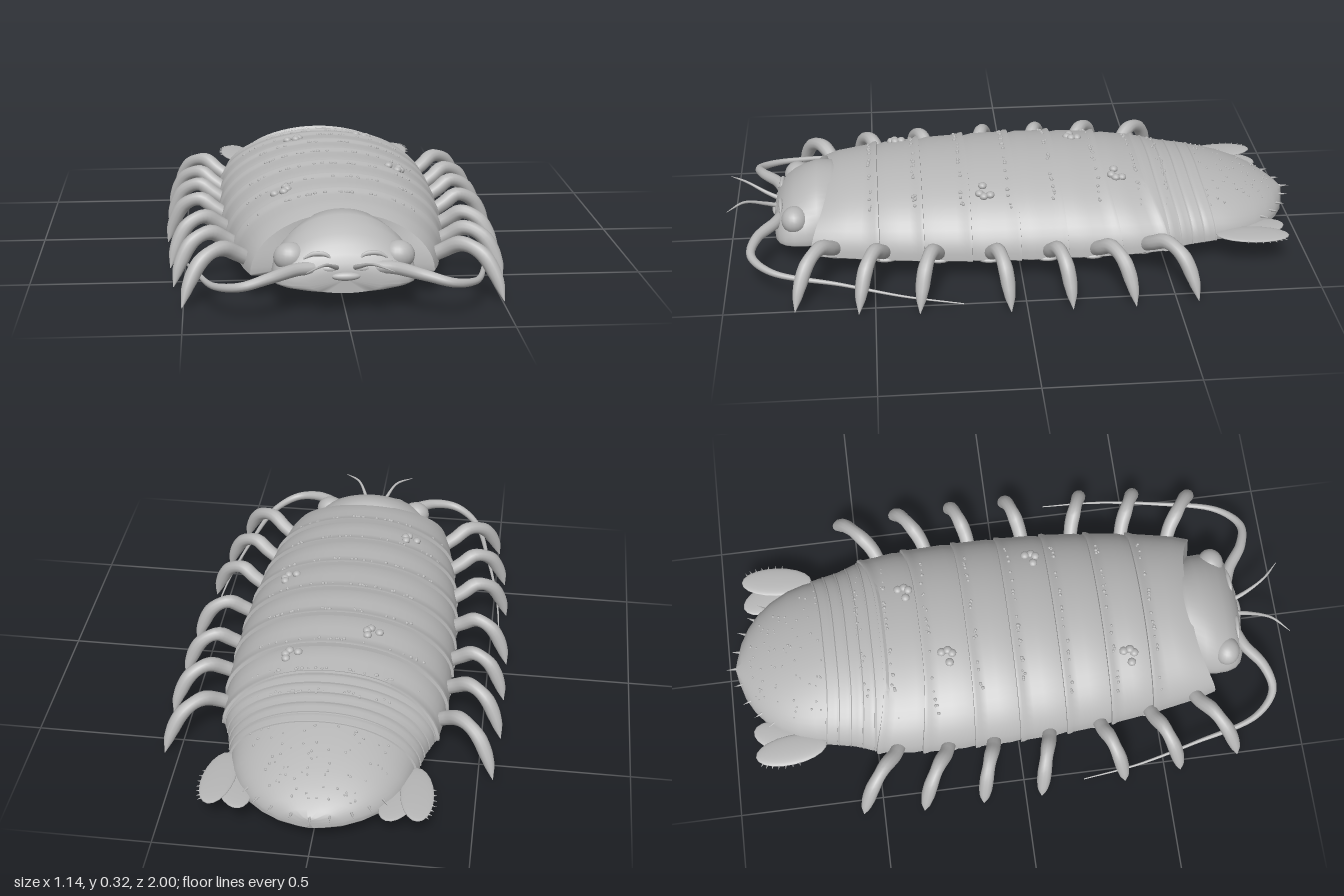
import * as THREE from 'three';
import { mergeGeometries, toCreasedNormals } from 'three/addons/utils/BufferGeometryUtils.js';

const shellGrey = new THREE.MeshStandardMaterial({ color: 0xb6b6b6 });
shellGrey.name = 'shell grey';
const BASE = 0.09; // height of the shell's side edge

// Body outline: z, half width, top height
const OUTLINE = [
  [0.74, 0.262, 0.25], [0.64, 0.3, 0.278], [0.48, 0.342, 0.3], [0.33, 0.362, 0.31], [0.17, 0.376, 0.315],
  [0, 0.383, 0.318], [-0.15, 0.384, 0.315], [-0.3, 0.38, 0.303], [-0.46, 0.358, 0.28], [-0.54, 0.328, 0.265],
  [-0.64, 0.307, 0.25], [-0.7, 0.298, 0.236], [-0.76, 0.28, 0.22], [-0.82, 0.248, 0.2], [-0.87, 0.208, 0.18],
  [-0.91, 0.16, 0.16], [-0.94, 0.105, 0.142], [-0.958, 0.045, 0.13], [-0.965, 0.01, 0.125],
];
function outline(z) {
  let i = 0;
  while (i < OUTLINE.length - 2 && z < OUTLINE[i + 1][0]) i++;
  const [a, b] = [OUTLINE[i], OUTLINE[i + 1]];
  const t = THREE.MathUtils.clamp((a[0] - z) / (a[0] - b[0]), 0, 1);
  return [a[1] + (b[1] - a[1]) * t, a[2] + (b[2] - a[2]) * t];
}
function onShell(x, z) {
  const [w, h] = outline(z);
  return new THREE.Vector3(x, BASE + (h - BASE) * Math.sqrt(Math.max(0, 1 - (x / w) ** 2)), z);
}

// Domed solid through sections, front to rear: z, half width, top, sweep of the sides, belly depth
function loft(sections, crease = 0.6) {
  const n = 56, pos = [], idx = [];
  for (const [z, w, top, sweep = 0, depth = 0.025] of sections) {
    for (let j = 0; j < n; j++) {
      const a = (j / n) * Math.PI * 2, c = Math.cos(a), s = Math.sin(a);
      pos.push(w * c, BASE + s * (s > 0 ? top - BASE : depth), z + sweep * Math.abs(c) ** 3);
    }
  }
  const m = sections.length;
  for (let i = 0; i < m - 1; i++) for (let j = 0; j < n; j++) {
    const k = (j + 1) % n, a = i * n + j, b = i * n + k, c = a + n, d = b + n;
    idx.push(a, c, b, b, c, d);
  }
  pos.push(0, BASE + 0.02, sections[0][0], 0, BASE + 0.02, sections[m - 1][0]);
  for (let j = 0; j < n; j++) {
    const k = (j + 1) % n, e = (m - 1) * n;
    idx.push(m * n, j, k, m * n + 1, e + k, e + j);
  }
  const g = new THREE.BufferGeometry();
  g.setAttribute('position', new THREE.Float32BufferAttribute(pos, 3));
  g.setIndex(idx);
  return toCreasedNormals(g, crease);
}

// Tube along points whose radius follows a list
function taper(points, radii, steps = 40, sides = 12) {
  const curve = new THREE.CatmullRomCurve3(points.map(p => new THREE.Vector3(...p)));
  const g = new THREE.TubeGeometry(curve, steps, 1, sides);
  const p = g.attributes.position, v = new THREE.Vector3();
  for (let i = 0; i <= steps; i++) {
    const u = i / steps, c = curve.getPointAt(u), f = u * (radii.length - 1);
    const k = Math.min(Math.floor(f), radii.length - 2);
    const r = THREE.MathUtils.lerp(radii[k], radii[k + 1], f - k);
    for (let j = 0; j <= sides; j++) {
      const q = i * (sides + 1) + j;
      v.fromBufferAttribute(p, q).sub(c).multiplyScalar(r).add(c);
      p.setXYZ(q, v.x, v.y, v.z);
    }
  }
  return g;
}
function ball(x, y, z, rx, ry = rx, rz = rx, turn = 0, detail = 20) {
  return new THREE.SphereGeometry(1, detail, Math.ceil(detail * 0.7)).scale(rx, ry, rz).rotateY(turn).translate(x, y, z);
}
function spike(x, y, z, dx, dz, len, r) {
  const dir = new THREE.Vector3(dx, 0, dz).normalize();
  const q = new THREE.Quaternion().setFromUnitVectors(new THREE.Vector3(0, 1, 0), dir);
  return new THREE.ConeGeometry(r, len, 6).translate(0, len / 2, 0).applyQuaternion(q).translate(x, y, z);
}

export function createModel() {
  const model = new THREE.Group();
  const add = (name, geometry) => {
    const mesh = new THREE.Mesh(geometry, shellGrey);
    mesh.name = name;
    model.add(mesh);
  };
  let seed = 7;
  const rand = () => (seed = (seed * 16807) % 2147483647) / 2147483647;

  // Overlapping back plates, each ending in a raised lip
  function plate(name, front, rear, sf, sr, lip) {
    const sections = [];
    for (const t of [-0.08, 0.2, 0.45, 0.7, 0.86, 0.93, 1, 1.01]) {
      const z = front + (rear - front) * t, [w, h] = outline(z);
      const k = t > 1 ? -lip * 2 : t > 0.9 ? lip : t < 0 ? -lip * 1.5 : 0;
      sections.push([z, w + k * 0.6, h + k, sf + (sr - sf) * t]);
    }
    add(name, loft(sections));
  }
  const joints = [[0.635, 0.06], [0.48, 0], [0.33, 0], [0.17, 0], [0.01, -0.005], [-0.14, -0.015], [-0.3, -0.04], [-0.44, -0.06]];
  for (let i = 0; i < 7; i++) {
    plate('backPlate' + (i + 1), joints[i][0], joints[i + 1][0], joints[i][1], joints[i + 1][1], 0.007);
  }
  for (let i = 0; i < 5; i++) {
    plate('tailRing' + (i + 1), -0.43 - i * 0.042, -0.477 - i * 0.042, -0.035, -0.03, 0.004);
  }

  // Tail shield
  const tail = [-0.6];
  OUTLINE.forEach(o => o[0] <= -0.64 && tail.push(o[0]));
  add('tailShield', loft(tail.map(z => [z, ...outline(z), 0, Math.min(0.02, outline(z)[0] * 0.15)]), 0.9));

  // Head with side eyes and mouth parts
  add('head', loft([
    [0.84, 0.11, 0.135], [0.833, 0.165, 0.158], [0.82, 0.196, 0.182], [0.8, 0.214, 0.208], [0.77, 0.224, 0.235],
    [0.73, 0.226, 0.258], [0.69, 0.222, 0.274], [0.64, 0.2, 0.279], [0.6, 0.15, 0.25],
  ], 0.9));
  const mouth = [ball(0, 0.118, 0.836, 0.046, 0.014, 0.016), ball(0, 0.085, 0.805, 0.06, 0.02, 0.03)];
  for (const s of [1, -1]) {
    add('eye', ball(s * 0.168, 0.162, 0.766, 0.052, 0.046, 0.046));
    mouth.push(ball(s * 0.08, 0.085, 0.795, 0.055, 0.02, 0.035), ball(s * 0.045, 0.14, 0.822, 0.04, 0.015, 0.018));
    add('browRidge', taper([[s * 0.04, 0.165, 0.82], [s * 0.06, 0.182, 0.818], [s * 0.1, 0.184, 0.815], [s * 0.13, 0.17, 0.815]],
      [0.003, 0.008, 0.008, 0.003], 16, 8));
    // Long and short feelers
    add('longFeeler', taper([
      [s * 0.1, 0.14, 0.815], [s * 0.15, 0.142, 0.835], [s * 0.235, 0.135, 0.893], [s * 0.32, 0.115, 0.91], [s * 0.4, 0.095, 0.84],
      [s * 0.465, 0.075, 0.61], [s * 0.51, 0.045, 0.4], [s * 0.53, 0.02, 0.21]],
    [0.021, 0.02, 0.016, 0.013, 0.01, 0.008, 0.006, 0.005, 0.004, 0.003, 0.002], 70));
    add('shortFeeler', taper([[s * 0.025, 0.14, 0.82], [s * 0.04, 0.16, 0.87], [s * 0.075, 0.187, 0.94], [s * 0.132, 0.182, 0.998]],
      [0.009, 0.007, 0.005, 0.004, 0.001], 24, 8));
  }
  add('mouthParts', mergeGeometries(mouth));

  // Seven pairs of legs: root z and foot x, z
  const legs = [[0.62, 0.505, 0.765], [0.46, 0.535, 0.555], [0.28, 0.55, 0.355], [0.11, 0.565, 0.055], [-0.085, 0.565, -0.15], [-0.24, 0.565, -0.36], [-0.41, 0.55, -0.572]];
  legs.forEach(([z, fx, fz], i) => {
    const d = fz - z, w = outline(z)[0], reach = fx - w;
    for (const s of [1, -1]) {
      add('leg' + (i + 1), taper([
        [s * (w - 0.21), 0.073, z - d * 0.15], [s * (w - 0.2), 0.073, z - d * 0.13], [s * (w - 0.08), 0.078, z - d * 0.05], [s * (w + reach * 0.1), 0.135, z + d * 0.15],
        [s * (w + reach * 0.37), 0.166, z + d * 0.4], [s * (w + reach * 0.67), 0.143, z + d * 0.68],
        [s * (w + reach * 0.88), 0.075, z + d * 0.88], [s * fx, 0.001, fz]],
      [0.002, 0.019, 0.022, 0.023, 0.024, 0.025, 0.026, 0.022, 0.025, 0.024, 0.017, 0.001]));
      add('hipPlate', ball(s * (w - 0.035), 0.088, z, 0.04, 0.015, 0.05));
    }
  });

  // Flat tail fans fringed with small spines
  for (const s of [1, -1]) {
    const fan = [ball(s * 0.318, 0.112, -0.795, 0.054, 0.009, 0.126, -s * 0.1), ball(s * 0.262, 0.104, -0.82, 0.055, 0.008, 0.105, s * 0.3)];
    for (let i = 0; i < 7; i++) {
      const a = -0.2 + i * 0.2, c = Math.cos(a), e = Math.sin(a);
      fan.push(spike(s * (0.318 + 0.051 * c + 0.012 * e), 0.112, -0.795 - 0.122 * e, s * c, -e * 0.5, 0.014, 0.003));
    }
    add('tailFan', mergeGeometries(fan));
  }

  // Spines round the rear edge
  const spines = [spike(0, 0.125, -0.955, 0, -1, 0.045, 0.006)];
  for (const [x, z] of [[0.06, -0.945], [0.125, -0.92], [0.175, -0.885], [0.215, -0.845]]) {
    for (const s of [1, -1]) spines.push(spike(s * x, 0.125, z, s * x, -0.35, 0.032, 0.005));
  }
  add('rearSpines', mergeGeometries(spines));

  // Fine bumps along the lips and scattered on the tail
  const bumps = [];
  const bump = (x, z, r) => {
    const p = onShell(x, z);
    bumps.push(ball(p.x, p.y, p.z, r, r, r, 0, 7));
  };
  joints.slice(1).forEach(([z]) => {
    for (let i = 0; i < 24; i++) bump((rand() * 2 - 1) * 0.29, z + 0.022 + rand() * 0.01, 0.004 + rand() * 0.003);
  });
  for (let i = 0; i < 24; i++) bump((rand() * 2 - 1) * 0.26, -0.5 - rand() * 0.02, 0.004 + rand() * 0.002);
  for (let i = 0; i < 70; i++) {
    const z = -0.65 - rand() * 0.26;
    bump((rand() * 2 - 1) * outline(z)[0] * 0.8, z, 0.003 + rand() * 0.002);
  }
  add('bumps', mergeGeometries(bumps));

  // Clusters of barnacles on the back
  const barnacles = [];
  for (const [x, z] of [[0.15, -0.34], [-0.11, -0.215], [0.225, 0.12], [-0.18, 0.41]]) {
    for (const [dx, dz] of [[-0.022, 0.004], [0.016, -0.02], [0.008, 0.016], [0.02, 0.002]]) {
      const p = onShell(x + dx, z + dz);
      barnacles.push(ball(p.x, p.y + 0.002, p.z, 0.015, 0.012, 0.015, 0, 12));
    }
  }
  add('barnacles', mergeGeometries(barnacles));

  // Swimming plates under the tail
  const slats = [];
  for (let i = 0; i < 6; i++) for (const s of [1, -1]) {
    slats.push(ball(s * 0.075, 0.07, -0.5 - i * 0.05, 0.062, 0.009, 0.016, s * 0.2, 12));
  }
  add('swimmingPlates', mergeGeometries(slats));
  return model;
}
